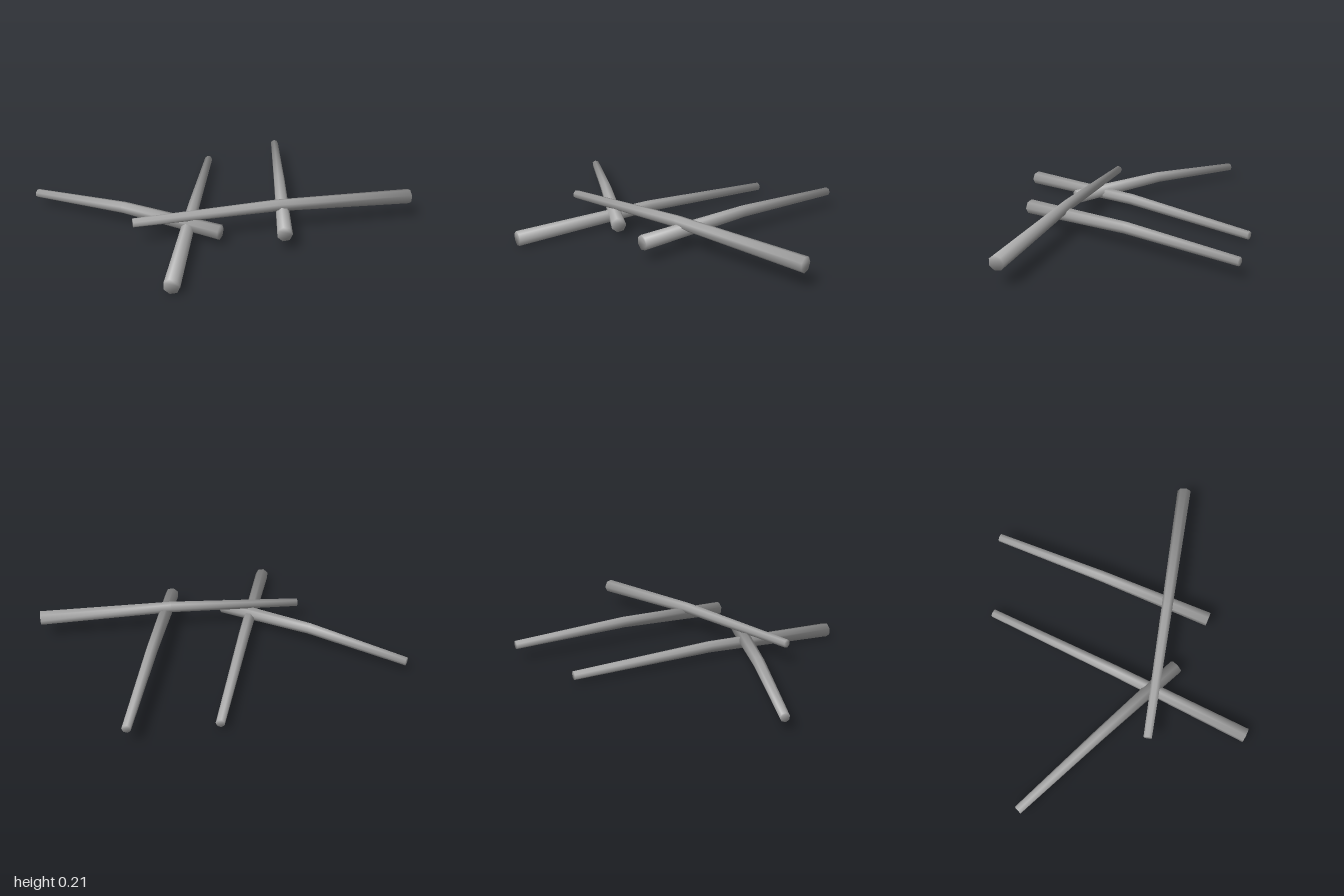
import * as THREE from 'three';

const SIDES = 7;
const UP = new THREE.Vector3(0, 1, 0);

// Bent, tapered stick: three rings from the thick to the thin end, with soft-shaded caps
function stickGeometry(thick, thin, rise, rThick, rThin) {
  const a = new THREE.Vector3(...thick), b = new THREE.Vector3(...thin);
  const axis = b.clone().sub(a).setY(0).normalize();
  const side = axis.clone().cross(UP);
  const mid = a.clone().lerp(b, 0.5);
  mid.y += rise;
  const rings = [
    { c: a, r: rThick, tilt: -0.85 },
    { c: mid, r: (rThick + rThin) / 2, tilt: 0 },
    { c: b, r: rThin, tilt: 0.85 },
  ];
  const pos = [], nor = [], idx = [];
  for (const { c, r, tilt } of rings) {
    for (let k = 0; k < SIDES; k++) {
      const t = (k / SIDES) * Math.PI * 2;
      const out = side.clone().multiplyScalar(Math.cos(t)).addScaledVector(UP, Math.sin(t));
      pos.push(...c.clone().addScaledVector(out, r).toArray());
      nor.push(...out.addScaledVector(axis, tilt).normalize().toArray());
    }
  }
  // Walls
  for (let i = 0; i < 2; i++) {
    for (let k = 0; k < SIDES; k++) {
      const n = (k + 1) % SIDES;
      const p = i * SIDES + k, q = i * SIDES + n;
      idx.push(p, p + SIDES, q + SIDES, p, q + SIDES, q);
    }
  }
  // End caps
  const e = 2 * SIDES;
  for (let k = 1; k < SIDES - 1; k++) idx.push(0, k, k + 1, e, e + k + 1, e + k);

  const g = new THREE.BufferGeometry();
  g.setAttribute('position', new THREE.Float32BufferAttribute(pos, 3));
  g.setAttribute('normal', new THREE.Float32BufferAttribute(nor, 3));
  g.setIndex(idx);
  return g;
}

export function createModel() {
  const group = new THREE.Group();
  group.name = 'scatteredSticks';
  const grey = new THREE.MeshStandardMaterial({ color: 0xa3a3a3 });
  grey.name = 'grey';

  // Thick end, thin end, height of the bend
  const sticks = [
    ['bottomStick', [-0.963, 0.058, 0.625], [0.453, 0.056, -0.697], 0.03],
    ['leftStick', [-0.13, 0.122, 0.695], [0.973, 0.122, -0.477], 0.025],
    ['topStick', [0.852, 0.155, 0.91], [-0.772, 0.155, -0.005], 0.025],
    ['backStick', [-0.366, 0.09, 0.362], [-0.914, 0.088, -0.948], 0.03],
  ];
  for (const [name, thick, thin, rise] of sticks) {
    const mesh = new THREE.Mesh(stickGeometry(thick, thin, rise, 0.05, 0.029), grey);
    mesh.name = name;
    group.add(mesh);
  }
  return group;
}
